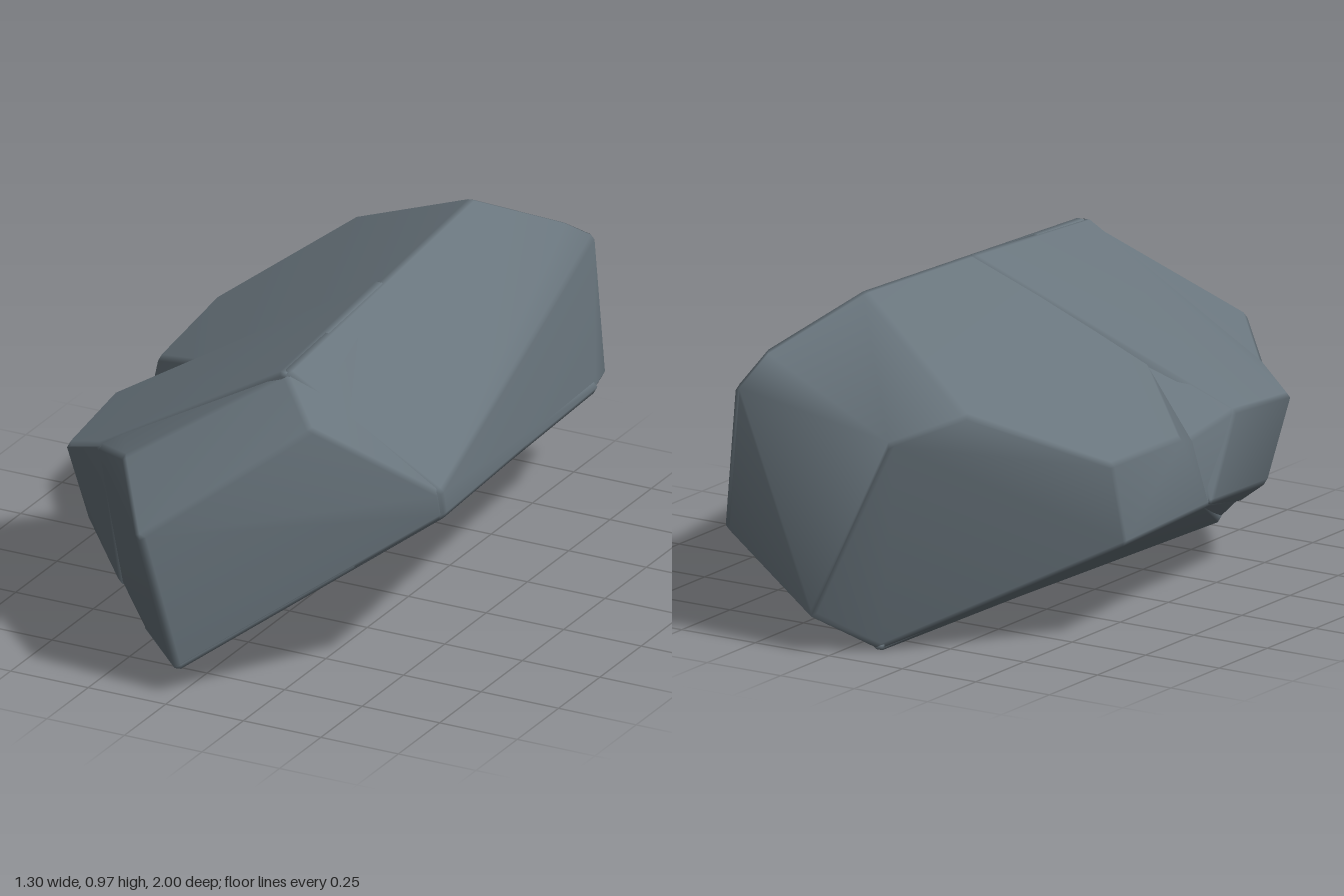
import * as THREE from 'three';
import { mergeVertices } from 'three/addons/utils/BufferGeometryUtils.js';
import { ConvexGeometry } from 'three/addons/geometries/ConvexGeometry.js';

const BEVEL = 0.02;

// Corners shared by the overlapping blocks of stone
const corner = {
  tip: [-0.09, 0.49, 1.0], toe: [-0.005, 0.08, 0.94],
  ridgeFront: [0.17, 0.885, 0.58], brow: [0.32, 0.80, 0.72],
  sideTop: [0.64, 0.6, 0.55], sideLow: [0.65, 0.54, 0.55],
  shoulder: [-0.25, 0.62, 0.79], hollowTop: [-0.43, 0.545, 0.605],
  hollowLow: [-0.35, 0.13, 0.6], footFront: [-0.23, 0.04, 0.68],
  cheekTop: [-0.575, 0.485, 0.525], cheekLow: [-0.53, 0.235, 0.46],
  grooveLip: [-0.595, 0.515, 0.19], grooveBed: [-0.53, 0.45, 0.09],
  grooveFoot: [-0.585, 0.275, 0.08], ridgeMid: [0.15, 0.925, -0.05],
  backLip: [-0.615, 0.51, -0.1], ridgeBack: [0.13, 0.96, -0.63],
  flankTop: [-0.36, 0.715, -0.85], flankMid: [-0.645, 0.53, -0.51],
  flankLow: [-0.655, 0.295, -0.46], backBrow: [0.29, 0.815, -0.89],
  backTopLeft: [-0.21, 0.65, -1.01], backTopRight: [0.31, 0.735, -1.01],
  backSide: [0.345, 0.32, -1.01], backLow: [0.06, 0.1, -1.01],
  sideBack: [0.415, 0.36, -0.83], footBack: [-0.085, 0, -0.89],
};

// Convex block with softly rounded edges: a small ball sits inside each corner
function roundedBlock(names) {
  const points = names.map((n) => new THREE.Vector3(...corner[n]));
  const middle = new THREE.Vector3();
  points.forEach((p) => middle.addScaledVector(p, 1 / points.length));
  const ball = new THREE.IcosahedronGeometry(BEVEL, 0).getAttribute('position');
  const cloud = [];
  for (const p of points) {
    const inward = middle.clone().sub(p).setLength(BEVEL * 1.2);
    for (let i = 0; i < ball.count; i++) {
      cloud.push(new THREE.Vector3().fromBufferAttribute(ball, i).add(p).add(inward));
    }
  }
  const hull = new ConvexGeometry(cloud);
  hull.deleteAttribute('normal');
  const geometry = mergeVertices(hull, 1e-5);
  geometry.computeVertexNormals(); // large faces dominate, so only the bevels blend
  return geometry;
}

export function createModel() {
  const group = new THREE.Group();
  group.name = 'boulder';
  const stone = new THREE.MeshStandardMaterial({ color: 0x69757d });
  stone.name = 'slate grey stone';

  const blocks = {
    // Pointed front mass
    frontRock: ['tip', 'toe', 'ridgeFront', 'brow', 'sideTop', 'sideLow', 'shoulder',
      'hollowTop', 'hollowLow', 'footFront', 'grooveLip', 'grooveBed', 'grooveFoot',
      'ridgeMid', 'sideBack', 'footBack'],
    // Side bulge, leaving a shallow hollow beside the tip
    sideRock: ['cheekTop', 'cheekLow', 'grooveLip', 'grooveBed', 'grooveFoot',
      'hollowTop', 'hollowLow', 'ridgeFront', 'ridgeMid'],
    // Rear mass, separated from the front by the groove
    backRock: ['ridgeFront', 'ridgeBack', 'flankTop', 'flankMid', 'flankLow', 'backLip',
      'grooveBed', 'grooveFoot', 'backBrow', 'backTopLeft', 'backTopRight', 'backSide',
      'backLow', 'sideBack', 'sideTop', 'sideLow', 'toe', 'footFront', 'footBack'],
  };
  for (const [name, names] of Object.entries(blocks)) {
    const mesh = new THREE.Mesh(roundedBlock(names), stone);
    mesh.name = name;
    group.add(mesh);
  }
  return group;
}
